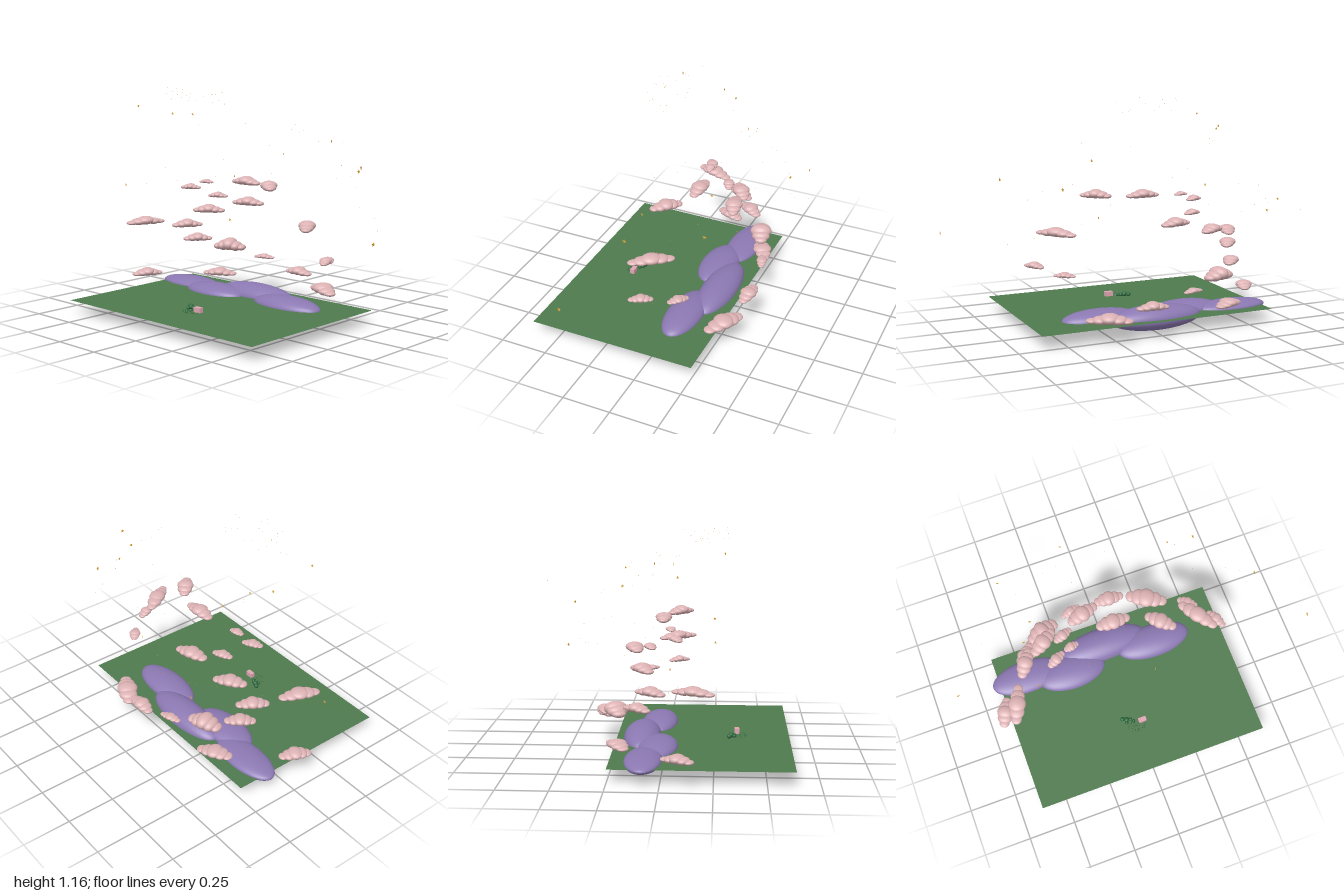
import * as THREE from 'three';

export function createModel() {
  const model = new THREE.Group();
  const mat = (name, color, side = THREE.FrontSide) => {
    const m = new THREE.MeshStandardMaterial({ color, side });
    m.name = name;
    return m;
  };
  const grass = mat('meadow green', 0x4f7a4f, THREE.DoubleSide);
  const purple = mat('hill purple', 0x8b78b2);
  const pink = mat('cloud pink', 0xdcb2b4);
  const leaf = mat('bush green', 0x2c6a3c);
  const gold = mat('star gold', 0xe0a83c);
  const blush = mat('block pink', 0xe0a6b2);

  const add = (parent, name, geo, material, pos, scale = [1, 1, 1]) => {
    const mesh = new THREE.Mesh(geo, material);
    mesh.name = name;
    mesh.position.set(...pos);
    mesh.scale.set(...scale);
    parent.add(mesh);
    return mesh;
  };
  let seed = 7;
  const rand = () => (seed = (seed * 16807) % 2147483647) / 2147483647;

  // Flat meadow
  const GROUND = 0.07;
  const plane = new THREE.PlaneGeometry(1.266, 0.884).rotateX(-Math.PI / 2);
  add(model, 'meadow', plane, grass, [-0.002, GROUND, 0.192]);

  // Long low hills: position, radii
  const ball = new THREE.SphereGeometry(1, 40, 24);
  [
    [[-0.475, 0.069, -0.088], [0.2, 0.036, 0.092]],
    [[-0.235, 0.067, -0.03], [0.19, 0.046, 0.1]],
    [[-0.025, 0.064, -0.122], [0.25, 0.064, 0.095]],
    [[0.25, 0.067, -0.045], [0.207, 0.05, 0.095]],
  ].forEach(([p, r], i) => add(model, 'hill' + (i + 1), ball, purple, p, r));

  // Clouds: x, y, z, turn, length, height, depth
  const puff = new THREE.SphereGeometry(1, 20, 14);
  // Lobes: offset along length, half length, height share, depth share, lift
  const lobes = [
    [0, 0.22, 1, 1, 0.06],
    [-0.19, 0.18, 0.8, 0.88, -0.05],
    [0.2, 0.17, 0.75, 0.82, -0.08],
    [-0.36, 0.14, 0.5, 0.6, -0.15],
    [0.37, 0.13, 0.48, 0.56, -0.15],
  ];
  [
    [-0.655, 0.13, 0.082, 1.15, 0.17, 0.045, 0.09],
    [-0.39, 0.122, -0.22, 0.5, 0.19, 0.045, 0.1],
    [-0.585, 0.433, 0.153, 1.2, 0.215, 0.045, 0.09],
    [-0.475, 0.405, -0.053, 1.0, 0.17, 0.046, 0.085],
    [-0.46, 0.322, -0.118, 0.9, 0.16, 0.045, 0.085],
    [-0.325, 0.282, -0.232, 0.35, 0.185, 0.07, 0.115],
    [-0.14, 0.23, -0.31, 0.3, 0.12, 0.027, 0.055],
    [0.09, 0.178, -0.328, -0.05, 0.17, 0.045, 0.085],
    [0.297, 0.123, -0.278, -0.5, 0.235, 0.055, 0.11],
    [-0.33, 0.633, 0.06, 0.5, 0.11, 0.03, 0.06],
    [-0.24, 0.666, 0.033, 0.2, 0.08, 0.022, 0.05],
    [-0.255, 0.582, -0.068, 0.4, 0.11, 0.03, 0.06],
    [-0.355, 0.493, -0.1, 0.6, 0.175, 0.047, 0.09],
    [-0.117, 0.551, -0.155, 0.3, 0.18, 0.047, 0.09],
    [0, 0.684, -0.013, 0, 0.18, 0.045, 0.085],
    [0.225, 0.686, 0.067, -0.75, 0.17, 0.047, 0.085],
    [0.45, 0.51, 0.042, -0.95, 0.235, 0.047, 0.085],
    [0.463, 0.323, -0.105, -0.7, 0.115, 0.028, 0.06],
    [0.567, 0.353, 0.045, -1.1, 0.125, 0.034, 0.06],
  ].forEach(([x, y, z, turn, len, h, depth], i) => {
    const cloud = new THREE.Group();
    cloud.name = 'cloud' + (i + 1);
    cloud.position.set(x, y, z);
    cloud.rotation.y = turn;
    lobes.forEach(([t, l, hs, ds, lift]) => add(cloud, 'cloudLobe', puff, pink,
      [t * len, lift * h, 0], [l * len, hs * h / 2, ds * depth / 2]));
    model.add(cloud);
  });

  // Five-pointed star, facing sideways
  const outline = new THREE.Shape();
  for (let i = 0; i < 10; i++) {
    const r = i % 2 ? 0.45 : 1, a = Math.PI / 2 + (i * Math.PI) / 5;
    outline[i ? 'lineTo' : 'moveTo'](r * Math.cos(a), r * Math.sin(a));
  }
  outline.closePath();
  const starGeo = new THREE.ExtrudeGeometry(outline, { depth: 0.4, bevelEnabled: false })
    .translate(0, 0, -0.2).rotateY(Math.PI / 2);
  const star = (x, y, z, r, turn = 0) => {
    const s = add(model, 'star', starGeo, gold, [x, y, z], [r, r, r]);
    s.rotation.y = turn;
  };
  [
    [0.985, 0.515, 0.24], [0.74, 0.795, 0.025], [0.53, 0.77, -0.275],
    [0.37, 0.895, -0.24], [-0.125, 0.78, -0.45], [-0.48, 0.63, -0.435],
    [-0.47, 1.01, 0.055], [-0.41, 1.005, -0.035], [-0.47, 1.06, 0.295],
    [-0.85, 0.595, 0.06], [0.135, 0.53, 0.25],
  ].forEach(([x, y, z], i) => star(x, y, z, i < 3 ? 0.009 : 0.007, Math.atan2(z, x) * -0.5));

  // Faint distant stars: a high cluster and a scattered dome
  for (let i = 0; i < 24; i++) star(-0.4 + 0.47 * rand(), 1.08 + 0.08 * rand(), 0.08 + 0.25 * rand(), 0.002);
  for (let i = 0; i < 30; i++) {
    const a = Math.PI * (0.05 + 0.9 * rand()), y = 0.5 + 0.5 * rand();
    const r = Math.sqrt(1.15 - y * y);
    star(0.85 * r * Math.cos(a), y, -0.62 * r * Math.sin(a) + 0.1, 0.002);
  }
  star(-0.998, 0.525, 0.06, 0.002);
  star(0.14, 0.85, -0.632, 0.002);

  // Pink block beside the bushes
  add(model, 'block', new THREE.BoxGeometry(0.042, 0.025, 0.024), blush, [0.03, GROUND + 0.014, 0.366]);

  // Small bushes and grass tufts
  const bushGeo = new THREE.IcosahedronGeometry(1, 1);
  [
    [-0.07, 0.325, 0.012], [-0.05, 0.335, 0.014], [-0.03, 0.34, 0.011],
    [-0.055, 0.352, 0.009], [-0.015, 0.352, 0.008],
  ].forEach(([x, z, r]) => add(model, 'bush', bushGeo, leaf, [x, GROUND + r * 0.8, z], [r, r, r]));
  const tuftGeo = new THREE.ConeGeometry(0.003, 0.006, 5);
  for (let i = 0; i < 40; i++) {
    const a = rand() * Math.PI * 2, r = Math.sqrt(rand());
    add(model, 'grassTuft', tuftGeo, leaf,
      [-0.015 + 0.055 * r * Math.cos(a), GROUND + 0.003, 0.385 + 0.035 * r * Math.sin(a)]);
  }
  return model;
}
